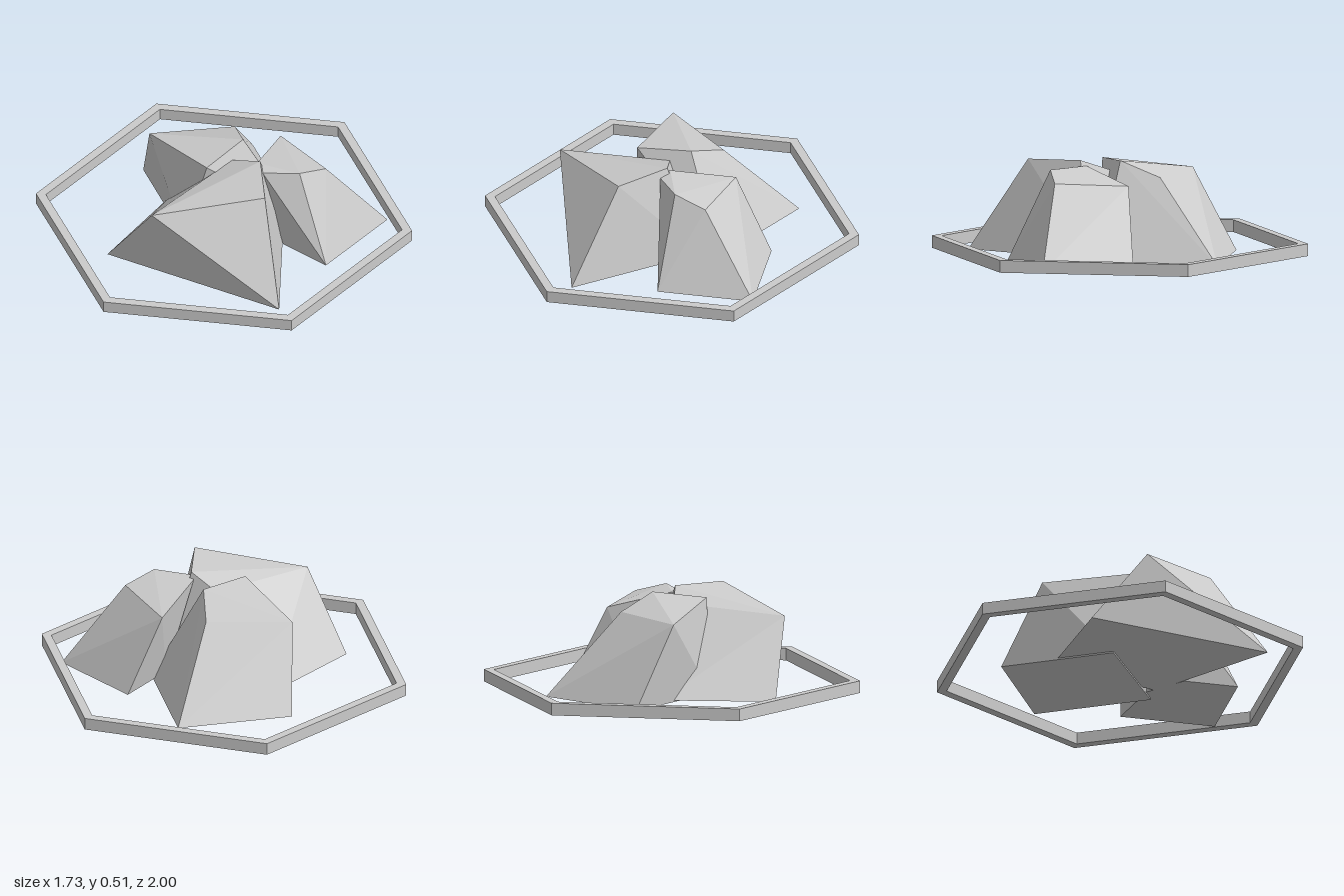
import * as THREE from 'three';
import { ConvexGeometry } from 'three/addons/geometries/ConvexGeometry.js';

const material = new THREE.MeshStandardMaterial({ color: 0xcccccc, flatShading: true });

// Faceted boulder spanned by its ground corners [x, z] and crest corners [x, y, z]
function boulder(name, floor, ground, crest) {
  const points = [
    ...ground.map(([x, z]) => new THREE.Vector3(x, floor, z)),
    ...crest.map((p) => new THREE.Vector3(...p)),
  ];
  const mesh = new THREE.Mesh(new ConvexGeometry(points), material);
  mesh.name = name;
  return mesh;
}

// Hexagon with a corner on the z axis
function hexagon(path, radius) {
  const corners = [];
  for (let i = 0; i < 6; i++) {
    const a = Math.PI / 2 + (i * Math.PI) / 3;
    corners.push(new THREE.Vector2(radius * Math.cos(a), radius * Math.sin(a)));
  }
  return path.setFromPoints(corners);
}

export function createModel() {
  const group = new THREE.Group();
  group.name = 'rockTile';

  // Flat hexagonal rim
  const shape = hexagon(new THREE.Shape(), 1);
  shape.holes.push(hexagon(new THREE.Path(), 0.947));
  const rimGeometry = new THREE.ExtrudeGeometry(shape, { depth: 0.065, bevelEnabled: false });
  rimGeometry.rotateX(-Math.PI / 2).translate(0, 0.01, 0);
  const rim = new THREE.Mesh(rimGeometry, material);
  rim.name = 'hexagonRim';
  group.add(rim);

  // Three boulders leaning together in the middle
  group.add(
    boulder('backRightRock', 0,
      [[-0.31, -0.62], [-0.62, -0.09], [-0.09, 0.22], [0.24, -0.3]],
      [[-0.44, 0.43, 0.08], [-0.13, 0.43, -0.25], [0.04, 0.51, -0.11], [0.03, 0.49, 0.18]]),
    boulder('frontRock', 0.008,
      [[-0.3, 0.6], [0.7, 0.4], [0.24, -0.2], [-0.36, 0]],
      [[0, 0.41, 0.6], [0.44, 0.5, 0.2], [0.23, 0.51, -0.02], [0.06, 0.45, 0]]),
    boulder('backLeftRock', 0.008,
      [[0.65, -0.05], [0.65, -0.56], [0.14, -0.56], [0.2, -0.23], [0.36, -0.05]],
      [[0.09, 0.41, -0.36], [0.47, 0.43, -0.27], [0.43, 0.48, -0.1], [0.27, 0.47, 0.01], [0.2, 0.48, -0.03]]),
  );
  return group;
}
